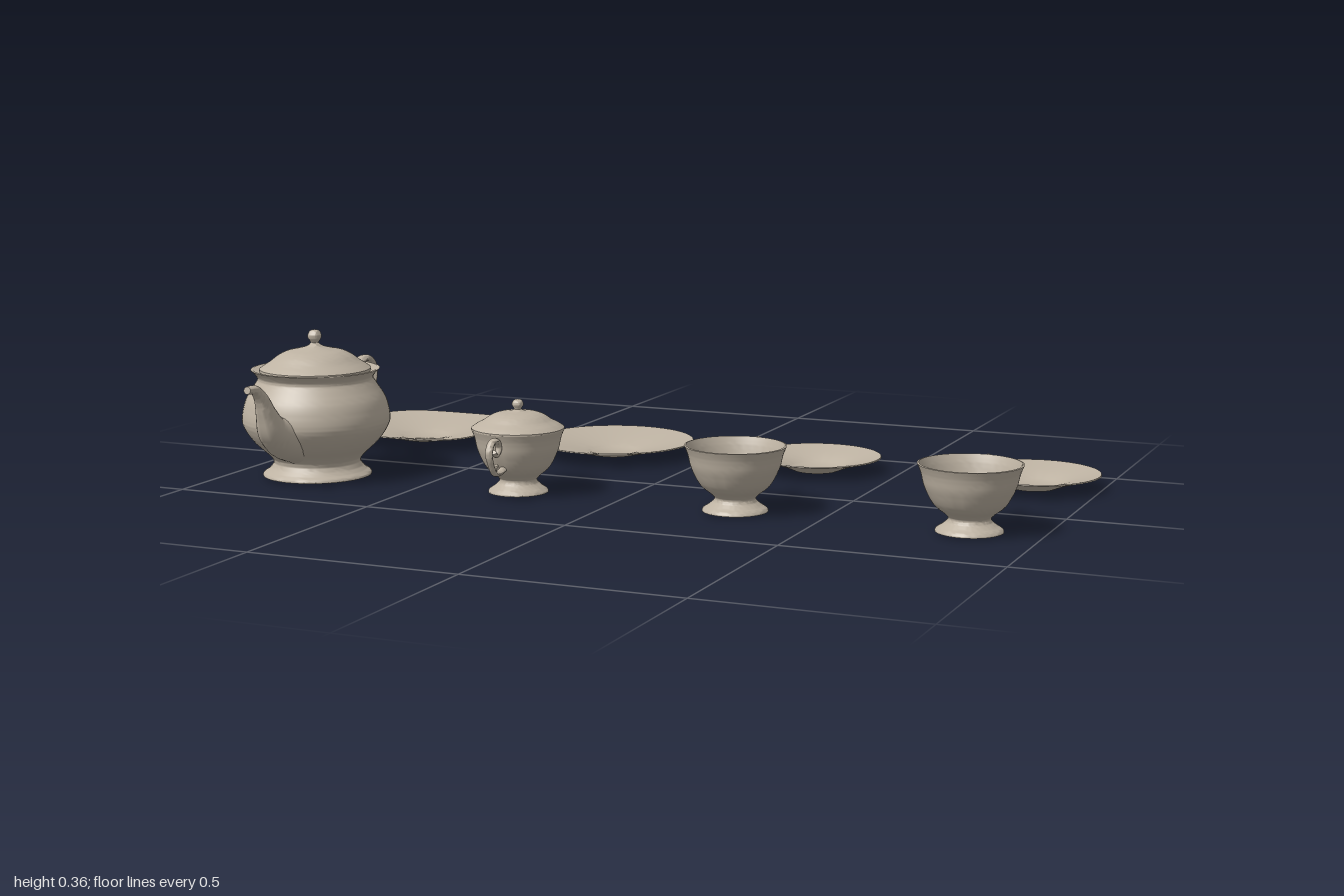
import * as THREE from 'three';
import { toCreasedNormals } from 'three/addons/utils/BufferGeometryUtils.js';

const porcelain = new THREE.MeshStandardMaterial({ color: 0xbdb2a2 });
porcelain.name = 'porcelain';

// Turned shape: each run of [radius, height] points is smoothed, corners between runs stay sharp
function turned(name, runs, warp) {
  const pts = [];
  runs.forEach((run) => {
    const p = run.map(([r, y]) => new THREE.Vector2(r, y));
    const smooth = p.length > 2 ? new THREE.SplineCurve(p).getPoints((p.length - 1) * 5) : p;
    smooth.forEach((v) => {
      v.x = Math.max(v.x, 0);
      if (!pts.length || pts[pts.length - 1].distanceTo(v) > 1e-5) pts.push(v);
    });
  });
  const lathe = new THREE.LatheGeometry(pts, 64);
  if (warp) {
    const pos = lathe.attributes.position;
    for (let i = 0; i < pos.count; i++) {
      const [x, z] = warp(pos.getX(i), pos.getZ(i));
      pos.setX(i, x);
      pos.setZ(i, z);
    }
  }
  const mesh = new THREE.Mesh(toCreasedNormals(lathe, 0.7), porcelain);
  mesh.name = name;
  return mesh;
}

// Oval tube swept in the YZ plane through [z, y, radius]; widen stretches it sideways
function swept(name, stations, widen, steps = 60, sides = 16) {
  const curve = new THREE.CatmullRomCurve3(stations.map(([z, y, r]) => new THREE.Vector3(r, y, z)));
  const verts = [], index = [];
  const rings = [[0, 0]];
  for (let i = 0; i <= steps; i++) rings.push([i / steps, 1]);
  rings.push([1, 0]);
  rings.forEach(([t, k]) => {
    const c = curve.getPoint(t), d = curve.getTangent(t);
    const len = Math.hypot(d.y, d.z);
    const ny = d.z / len, nz = -d.y / len;
    for (let j = 0; j < sides; j++) {
      const a = (j / sides) * Math.PI * 2;
      const s = Math.sin(a) * c.x * k;
      verts.push(Math.cos(a) * c.x * k * widen, c.y + ny * s, c.z + nz * s);
    }
  });
  for (let i = 0; i < rings.length - 1; i++) {
    for (let j = 0; j < sides; j++) {
      const a = i * sides + j, b = i * sides + (j + 1) % sides;
      index.push(a, b, b + sides, a, b + sides, a + sides);
    }
  }
  const geo = new THREE.BufferGeometry();
  geo.setAttribute('position', new THREE.Float32BufferAttribute(verts, 3));
  geo.setIndex(index);
  const mesh = new THREE.Mesh(toCreasedNormals(geo, 0.9), porcelain);
  mesh.name = name;
  return mesh;
}

function assemble(name, x, z, parts) {
  const g = new THREE.Group();
  g.name = name;
  g.position.set(x, 0, z);
  g.add(...parts);
  return g;
}

// Shallow dish with a flat well
function plate(name, radius, warp) {
  return turned(name, [
    [[0, 0.004], [0.055, 0.004]],
    [[0.055, 0.004], [radius * 0.6, 0.02], [radius, 0.038]],
    [[radius, 0.038], [radius - 0.001, 0.041]],
    [[radius - 0.001, 0.041], [radius * 0.6, 0.026], [0.062, 0.013]],
    [[0.062, 0.013], [0.056, 0.01]],
    [[0.056, 0.01], [0, 0.01]],
  ], warp);
}

// Pulls a round outline towards a rounded square, leaving the well round
function squareOff(x, z) {
  const r = Math.hypot(x, z);
  if (r < 1e-6) return [x, z];
  const n = 3.4;
  const f = 1 / Math.pow(Math.pow(Math.abs(x / r), n) + Math.pow(Math.abs(z / r), n), 1 / n);
  const k = THREE.MathUtils.lerp(1, f, THREE.MathUtils.smoothstep(r, 0.06, 0.2));
  return [x * k, z * k];
}

// Footed bowl shared by the cups and the sugar bowl
function bowl(name, s) {
  const scale = (run) => run.map(([r, y]) => [r * s, y]);
  return turned(name, [
    [[0, 0.014], [0.06, 0.008]],
    [[0.06, 0.008], [0.075, 0.008]],
    [[0.075, 0.008], [0.073, 0.014], [0.058, 0.024], [0.047, 0.036], [0.054, 0.047],
      [0.08, 0.069], [0.1, 0.107], [0.108, 0.138], [0.116, 0.158]],
    [[0.116, 0.158], [0.112, 0.159]],
    [[0.112, 0.159], [0.104, 0.138], [0.095, 0.107], [0.075, 0.073], [0.045, 0.054], [0, 0.05]],
  ].map(scale));
}

// Scrolled handle for cups and sugar bowl
function scrollHandle(name, s, turn) {
  const path = [
    [0.075, 0.078, 0.007], [0.105, 0.07, 0.007], [0.134, 0.072, 0.006], [0.152, 0.093, 0.006],
    [0.164, 0.123, 0.007], [0.148, 0.146, 0.007], [0.12, 0.144, 0.007], [0.109, 0.126, 0.006],
    [0.123, 0.112, 0.005], [0.137, 0.122, 0.005],
  ].map(([z, y, r]) => [z * s, y, r]);
  const g = new THREE.Group();
  g.name = name;
  g.add(swept('handleLoop', path, 1.3));
  g.add(swept('handleSpur', [[0.132, 0.072, 0.005], [0.134, 0.084, 0.005], [0.122, 0.088, 0.005]]
    .map(([z, y, r]) => [z * s, y, r]), 1.2, 16, 10));
  g.rotation.y = turn;
  return g;
}

function teapot() {
  const body = turned('teapotBody', [
    [[0, 0.018], [0.11, 0.008]],
    [[0.11, 0.008], [0.131, 0.008]],
    [[0.131, 0.008], [0.13, 0.014], [0.115, 0.025], [0.105, 0.042], [0.116, 0.06], [0.15, 0.092],
      [0.174, 0.128], [0.178, 0.155], [0.168, 0.195], [0.148, 0.228], [0.139, 0.247], [0.155, 0.267]],
    [[0.155, 0.267], [0.15, 0.268]],
    [[0.15, 0.268], [0.132, 0.262], [0.1, 0.262]],
  ]);
  const lid = turned('teapotLid', [
    [[0.1, 0.26], [0.134, 0.262]],
    [[0.134, 0.262], [0.134, 0.268]],
    [[0.134, 0.268], [0.124, 0.275], [0.107, 0.286], [0.09, 0.299], [0.07, 0.309], [0.045, 0.315],
      [0.022, 0.321], [0.01, 0.329], [0.012, 0.335], [0.017, 0.345], [0.012, 0.358], [0, 0.362]],
  ]);
  const spout = swept('spout', [
    [0.09, 0.11, 0.062], [0.15, 0.124, 0.052], [0.198, 0.149, 0.037], [0.223, 0.189, 0.025],
    [0.243, 0.228, 0.017], [0.268, 0.252, 0.012], [0.302, 0.257, 0.009],
  ], 1.0, 48, 24);
  const handle = new THREE.Group();
  handle.name = 'teapotHandle';
  handle.add(swept('handleBow', [
    [0.145, 0.203, 0.009], [0.172, 0.203, 0.009], [0.186, 0.228, 0.009], [0.21, 0.255, 0.009],
    [0.25, 0.258, 0.008], [0.271, 0.235, 0.009], [0.262, 0.187, 0.009], [0.228, 0.145, 0.009],
    [0.2, 0.112, 0.009], [0.184, 0.077, 0.009], [0.172, 0.064, 0.006],
  ], 1.7, 80));
  handle.add(swept('handleStay', [[0.145, 0.103, 0.011], [0.172, 0.108, 0.009], [0.202, 0.115, 0.008]], 1.4, 16));
  handle.add(swept('handleCurl', [[0.182, 0.226, 0.008], [0.165, 0.23, 0.007], [0.16, 0.22, 0.006]], 1.4, 16));
  handle.rotation.y = Math.PI;
  return assemble('teapot', -0.797, 0.222, [body, lid, spout, handle]);
}

function sugarBowl() {
  const lid = turned('sugarLid', [
    [[0.08, 0.156], [0.109, 0.157]],
    [[0.109, 0.157], [0.109, 0.161]],
    [[0.109, 0.161], [0.097, 0.169], [0.08, 0.178], [0.064, 0.189], [0.045, 0.196], [0.022, 0.199],
      [0.009, 0.204], [0.014, 0.215], [0.009, 0.225], [0, 0.228]],
  ]);
  return assemble('sugarBowl', -0.252, 0.222, [
    bowl('sugarBowlBody', 0.94), lid,
    scrollHandle('frontHandle', 0.91, 0), scrollHandle('backHandle', 0.91, Math.PI),
  ]);
}

export function createModel() {
  const set = new THREE.Group();
  set.name = 'teaSet';
  set.add(teapot(), sugarBowl());
  // Row of plates behind the vessels
  set.add(assemble('squarePlate', -0.797, -0.323, [plate('squareDish', 0.203, squareOff)]));
  set.add(assemble('roundPlate', -0.252, -0.323, [plate('roundDish', 0.203)]));
  [0.294, 0.84].forEach((x) => {
    set.add(assemble('saucer', x, -0.323, [plate('saucerDish', 0.16)]));
    set.add(assemble('cup', x, 0.222, [bowl('cupBody', 1), scrollHandle('cupHandle', 1, Math.PI)]));
  });
  return set;
}
